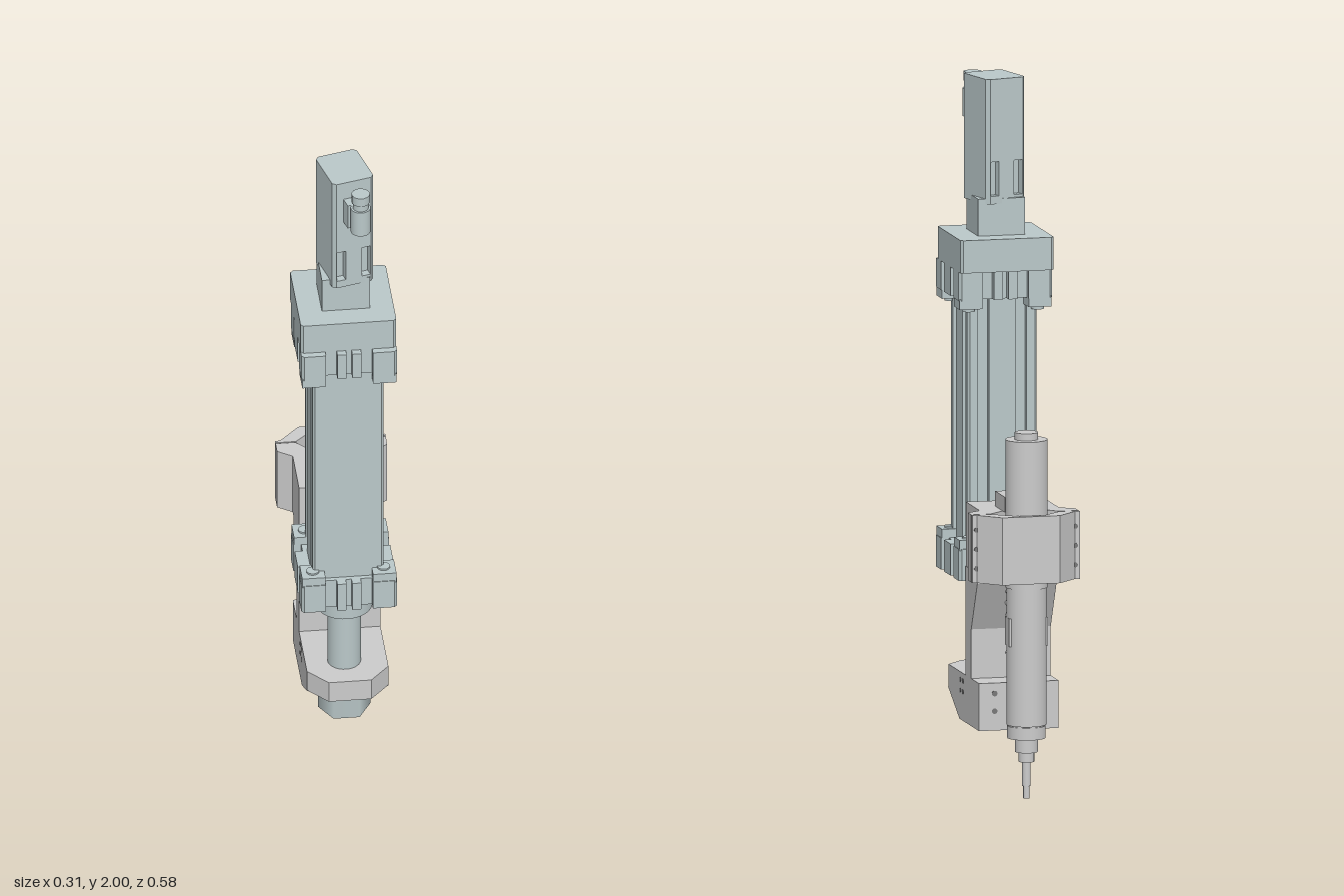
import * as THREE from 'three';

const blue = new THREE.MeshStandardMaterial({ color: 0xbac8c9 });
const grey = new THREE.MeshStandardMaterial({ color: 0xcccccc });
const dark = new THREE.MeshStandardMaterial({ color: 0x777777 });

export function createModel() {
  const root = new THREE.Group();
  const AX = -0.005, AZ = 0.15;   // actuator axis
  const TX = -0.006, TZ = -0.218; // tool axis

  const add = (name, geo, mat, x = 0, y = 0, z = 0, parent = root) => {
    const m = new THREE.Mesh(geo, mat);
    m.name = name;
    m.position.set(x, y, z);
    parent.add(m);
    return m;
  };
  // box between two heights, centred on x, z
  const box = (name, mat, w, y0, y1, d, x, z, parent) =>
    add(name, new THREE.BoxGeometry(w, y1 - y0, d), mat, x, (y0 + y1) / 2, z, parent);
  const cyl = (name, mat, r, y0, y1, x, z, n = 32, parent = root) =>
    add(name, new THREE.CylinderGeometry(r, r, y1 - y0, n), mat, x, (y0 + y1) / 2, z, parent);
  // plan outline of [x, z] points raised from y0 to y1
  const plan = (name, mat, pts, y0, y1, x = 0, z = 0, parent = root) => {
    const s = new THREE.Shape(pts.map(p => new THREE.Vector2(p[0], -p[1])));
    const g = new THREE.ExtrudeGeometry(s, { depth: y1 - y0, bevelEnabled: false });
    return add(name, g.rotateX(-Math.PI / 2), mat, x, y0, z, parent);
  };
  // side outline of [z, y] points spread from x0 to x1
  const side = (name, mat, pts, x0, x1) => {
    const s = new THREE.Shape(pts.map(p => new THREE.Vector2(-p[0], p[1])));
    const g = new THREE.ExtrudeGeometry(s, { depth: x1 - x0, bevelEnabled: false });
    return add(name, g.rotateY(Math.PI / 2), mat, x0, 0, 0);
  };
  // rectangle outline with chamfered corners and slots on front, +x, back, -x
  const slotted = (w, d, c, slots, depth) => {
    const pts = [];
    const turn = [(t, o) => [t, o], (t, o) => [o, -t], (t, o) => [-t, -o], (t, o) => [-o, t]];
    turn.forEach((f, k) => {
      const a = (k % 2 ? d : w) / 2, b = (k % 2 ? w : d) / 2;
      pts.push(f(-a + c, b));
      for (const [t0, t1] of slots[k])
        pts.push(f(t0, b), f(t0, b - depth), f(t1, b - depth), f(t1, b));
      pts.push(f(a - c, b));
    });
    return pts;
  };

  // actuator body and end blocks
  const pair = [[-0.07, -0.038], [0.038, 0.07]];
  plan('actuatorProfile', blue, slotted(0.2, 0.196, 0.006, [[], pair, pair, pair], 0.02),
    0.66, 1.4, AX, 0.152);
  const three = [[-0.066, -0.034], [-0.008, 0.008], [0.034, 0.066]];
  const endShape = slotted(0.27, 0.272, 0.008, [three, pair, three, pair], 0.022);
  plan('upperEndBlock', blue, endShape, 1.38, 1.462, AX, 0.149);
  plan('lowerEndBlock', blue, endShape, 0.585, 0.675, AX, 0.149);
  for (const sx of [-1, 1]) for (const sz of [-1, 1]) {
    const x = AX + sx * 0.1, z = 0.149 + sz * 0.101;
    box('upperCornerLug', blue, 0.066, 1.355, 1.385, 0.066, x, z);
    box('lowerCornerLug', blue, 0.066, 0.67, 0.7, 0.066, x, z);
    cyl('upperTieScrew', blue, 0.018, 1.345, 1.36, x, z, 16);
    cyl('lowerTieScrew', blue, 0.018, 0.695, 0.705, x, z, 16);
  }
  plan('topCap', blue, slotted(0.27, 0.272, 0.008, [[], [], [], []], 0), 1.462, 1.555, AX, 0.129);

  // motor, turned slightly on its mount
  box('motorMount', blue, 0.136, 1.555, 1.66, 0.137, AX, 0.129);
  const motor = new THREE.Group();
  motor.name = 'motor';
  motor.position.set(-0.002, 0, 0.135);
  motor.rotation.y = 0.25;
  root.add(motor);
  const none = [[], [], [], []];
  const ends = (h) => [[-h, -h + 0.026], [h - 0.026, h]];
  plan('motorFlange', blue, slotted(0.123, 0.146, 0.01, none, 0), 1.645, 1.668, 0, 0, motor);
  plan('motorWaist', blue, slotted(0.123, 0.146, 0.01, [ends(0.05), [], ends(0.05), []], 0.022),
    1.668, 1.765, 0, 0, motor);
  plan('motorHousing', blue, slotted(0.123, 0.146, 0.01, none, 0), 1.765, 2, 0, 0, motor);
  box('connectorBase', blue, 0.062, 1.868, 1.945, 0.045, 0, 0.085, motor);
  cyl('connectorBody', blue, 0.028, 1.865, 1.945, 0, 0.127, 24, motor);
  cyl('connectorCollar', blue, 0.022, 1.945, 1.965, 0, 0.127, 24, motor);
  cyl('connectorTip', blue, 0.026, 1.965, 1.992, 0, 0.127, 12, motor);

  // piston rod, collar and hexagonal nut
  cyl('rodCollar', blue, 0.08, 0.515, 0.585, AX, AZ, 40);
  cyl('pistonRod', blue, 0.047, 0.22, 0.52, AX, AZ);
  cyl('rodNut', blue, 0.074, 0.165, 0.238, AX, AZ, 6).rotation.y = Math.PI / 6;
  cyl('rodWasher', blue, 0.062, 0.238, 0.256, AX, AZ);

  // carrier bracket: arm, ribs, column and foot
  plan('carrierArm', grey, [[-0.115, 0], [-0.115, 0.195], [-0.06, 0.257], [0.06, 0.257],
    [0.115, 0.195], [0.115, 0]], 0.255, 0.32);
  side('carrierColumn', grey, [[0, 0.185], [-0.155, 0.185], [-0.155, 0.32], [-0.065, 0.32],
    [-0.065, 0.46], [-0.135, 0.6], [-0.135, 0.63], [0, 0.63]].reverse(), -0.115, 0.115);
  for (const s of [-1, 1]) {
    side('armRib', grey, [[0.2, 0.256], [0.07, 0.185], [0, 0.185], [0, 0.256]],
      s * 0.106 - 0.009, s * 0.106 + 0.009);
    for (const z of [0.03, 0.06]) for (const y of [0.267, 0.298])
      cyl('armScrew', dark, 0.007, -0.001, 0.001, s * 0.115, z, 12)
        .rotation.z = Math.PI / 2;
    // raise the latest two screws to their rows
    root.children.slice(-4).forEach((m, i) => { m.position.y = i % 2 ? 0.298 : 0.267; });
    for (const y of [0.24, 0.29]) {
      const m = cyl('footScrew', dark, 0.008, y - 0.001, y + 0.001, s * 0.07, -0.155, 12);
      m.rotation.x = Math.PI / 2;
    }
  }

  // clamp jaws with V seats
  plan('frontJaw', grey, [[-0.115, 0], [0.114, 0], [0.114, -0.157], [0.155, -0.185],
    [0.155, -0.223], [0.1, -0.223], [0.03, -0.158], [-0.04, -0.158], [-0.1, -0.223],
    [-0.156, -0.223], [-0.156, -0.185], [-0.115, -0.157]], 0.62, 0.812);
  plan('rearJaw', grey, [[-0.156, -0.227], [-0.098, -0.227], [-0.04, -0.28], [0.03, -0.28],
    [0.098, -0.227], [0.155, -0.227], [0.155, -0.236], [0.142, -0.236], [0.083, -0.297],
    [-0.083, -0.297], [-0.142, -0.236], [-0.156, -0.236]], 0.62, 0.812);
  for (const s of [-1, 1]) for (const y of [0.66, 0.715, 0.77]) {
    cyl('clampScrew', dark, 0.007, y - 0.027, y + 0.027, s * 0.143, -0.211, 12)
      .rotation.x = Math.PI / 2;
  }

  // spring guide behind the column
  box('guidePlate', grey, 0.118, 0.812, 0.855, 0.115, TX, -0.151);
  cyl('guideNut', grey, 0.023, 0.855, 0.878, TX, -0.126, 6);
  cyl('guideTip', grey, 0.014, 0.878, 0.905, TX, -0.126, 20);
  cyl('guideRod', grey, 0.017, 0.37, 0.64, TX, -0.122, 20);
  const coil = Array.from({ length: 97 }, (_, i) => {
    const a = i / 16 * Math.PI * 2;
    return new THREE.Vector3(Math.cos(a) * 0.032, 0.395 + i / 96 * 0.215, Math.sin(a) * 0.032);
  });
  add('spring', new THREE.TubeGeometry(new THREE.CatmullRomCurve3(coil), 200, 0.005, 8),
    grey, TX, 0, -0.122);

  // spindle tool
  cyl('spindleUpper', grey, 0.059, 0.6, 1.02, TX, TZ, 48);
  cyl('spindleCap', grey, 0.033, 1.02, 1.04, TX, TZ);
  cyl('spindleLower', grey, 0.056, 0.21, 0.62, TX, TZ, 48);
  cyl('spindleNose', grey, 0.054, 0.172, 0.207, TX, TZ, 48);
  cyl('noseGroove', grey, 0.051, 0.205, 0.212, TX, TZ, 48);
  for (const s of [-1, 1]) box('spindleFlat', grey, 0.012, 0.435, 0.515, 0.05, TX + s * 0.05, TZ);
  cyl('collet', grey, 0.032, 0.132, 0.174, TX, TZ);
  cyl('colletTip', grey, 0.022, 0.104, 0.133, TX, TZ);
  cyl('toolShank', grey, 0.012, 0.035, 0.106, TX, TZ, 20);
  cyl('toolBit', grey, 0.009, 0, 0.036, TX, TZ, 16);
  return root;
}
